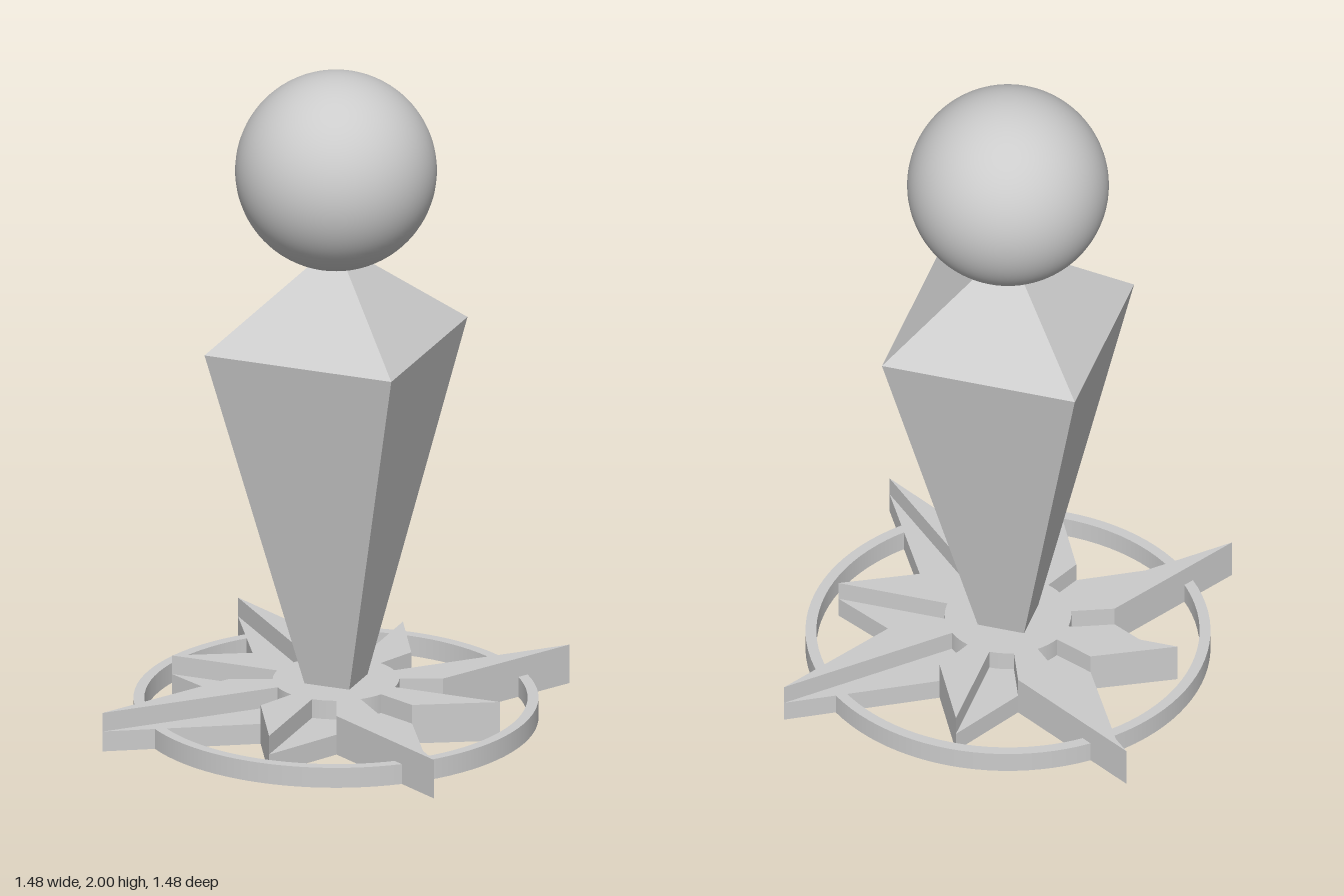
import * as THREE from 'three';

const material = new THREE.MeshStandardMaterial({ color: 0xcccccc });
const flatMaterial = new THREE.MeshStandardMaterial({ color: 0xcccccc, flatShading: true });

const HIGH = 0.12, LOW = 0.062; // the two levels of the base

// Extrude a plan shape upwards from y = 0
function slab(shape, height, curveSegments = 1) {
  const geometry = new THREE.ExtrudeGeometry(shape, { depth: height, bevelEnabled: false, curveSegments });
  return geometry.rotateX(-Math.PI / 2);
}

// Half of a star point: centre, tip and the notch on one side
function halfPoint(tip, side, height) {
  const a = side * Math.PI / 8, notch = 0.313;
  const shape = new THREE.Shape([
    new THREE.Vector2(0, 0),
    new THREE.Vector2(tip, 0),
    new THREE.Vector2(notch * Math.cos(a), notch * Math.sin(a)),
  ]);
  return slab(shape, height);
}

export function createModel() {
  const model = new THREE.Group();
  const add = (name, geometry, mat, parent = model) => {
    const mesh = new THREE.Mesh(geometry, mat);
    mesh.name = name;
    parent.add(mesh);
    return mesh;
  };

  // Eight-pointed star, each point split into a raised and a lowered half
  const star = new THREE.Group();
  star.name = 'compassStar';
  model.add(star);
  for (let i = 0; i < 8; i++) {
    const point = new THREE.Group();
    point.name = i % 2 ? 'shortPoint' : 'longPoint';
    point.rotation.y = i * Math.PI / 4;
    const tip = i % 2 ? 0.518 : 0.74;
    add('raisedHalf', halfPoint(tip, -1, HIGH), flatMaterial, point);
    add('loweredHalf', halfPoint(tip, 1, LOW), flatMaterial, point);
    star.add(point);
  }

  // Flat ring joining the long points
  const ringProfile = [[0.56, 0], [0.592, 0], [0.592, LOW], [0.56, LOW], [0.56, 0]];
  for (let i = 0; i < 4; i++) {
    const edge = ringProfile.slice(i, i + 2).map(([x, y]) => new THREE.Vector2(x, y));
    add('ring', new THREE.LatheGeometry(edge, 96), material);
  }

  // Hub disc under the body
  add('hub', new THREE.CylinderGeometry(0.185, 0.185, HIGH, 64), material).position.y = HIGH / 2;

  // Four-sided tapering body with sloped shoulders
  const profile = [[0, HIGH], [0.1, HIGH], [0.417, 1.188], [0.085, 1.42], [0, 1.42]]
    .map(([x, y]) => new THREE.Vector2(x, y));
  add('body', new THREE.LatheGeometry(profile, 4), flatMaterial);

  // Round head
  add('head', new THREE.SphereGeometry(0.295, 64, 48), material).position.y = 1.705;

  return model;
}
